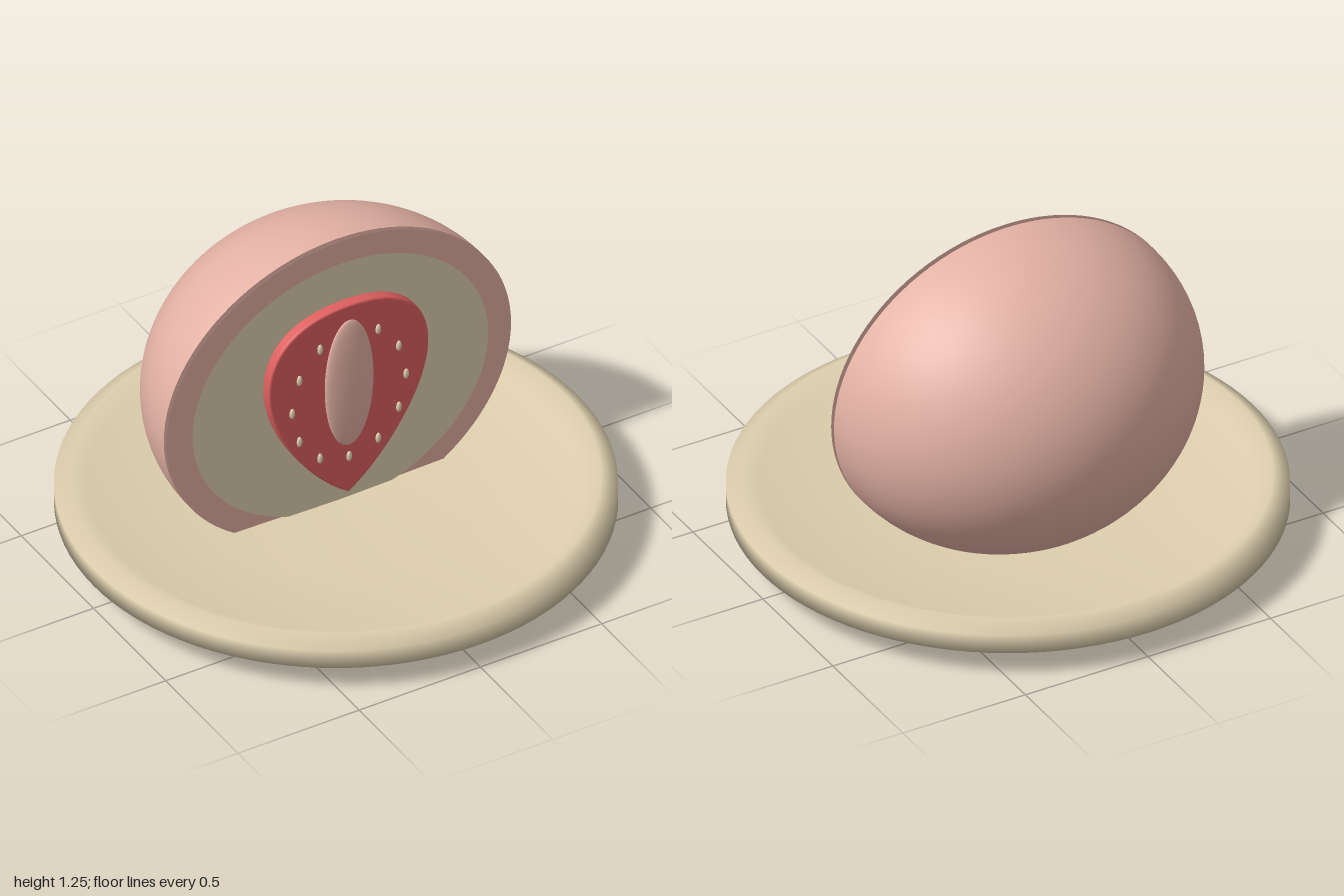
import * as THREE from 'three';

const material = (name, color, side = THREE.FrontSide) => {
  const m = new THREE.MeshStandardMaterial({ color, side });
  m.name = name;
  return m;
};

export function createModel() {
  const pink = material('pale pink', 0xe3b1a4, THREE.DoubleSide);
  const cream = material('cream', 0xdecfae, THREE.DoubleSide);
  const red = material('berry red', 0xde5f5f);

  const model = new THREE.Group();
  model.name = 'filledDumplingOnPlate';
  const add = (name, geometry, mat, x = 0, y = 0, z = 0) => {
    const mesh = new THREE.Mesh(geometry, mat);
    mesh.name = name;
    mesh.position.set(x, y, z);
    model.add(mesh);
    return mesh;
  };

  // Shallow dish with a rounded rim
  const profile = [
    [0, 0.035], [0.71, 0.035], [1, 0.105], [1, 0.18], [0.94, 0.215],
    [0.88, 0.18], [0.5, 0.135], [0, 0.125],
  ].map(([r, y]) => new THREE.Vector2(r, y));
  add('plate', new THREE.LatheGeometry(profile, 96), cream);

  // Back half of the outer shell, cut open towards the front
  const shell = new THREE.SphereGeometry(1, 64, 48, Math.PI, Math.PI);
  shell.rotateY(Math.PI).scale(0.71, 0.625, 0.65);
  // keep the half behind the cut
  shell.computeBoundingBox();
  if (shell.boundingBox.max.z > 0.1) shell.rotateY(Math.PI);
  add('outerShell', shell, pink, 0, 0.63, 0);

  // Cut faces: outer skin and inner paste
  add('skinCutFace', new THREE.CircleGeometry(1, 96).scale(0.71, 0.625, 1), pink, 0, 0.63, 0.02);
  add('pasteCutFace', new THREE.CircleGeometry(1, 96).scale(0.61, 0.535, 1), cream, 0, 0.63, 0.03);

  // Halved berry slab
  const outline = new THREE.Shape();
  outline.moveTo(0, 0.205);
  outline.bezierCurveTo(0.12, 0.28, 0.322, 0.53, 0.322, 0.74);
  outline.bezierCurveTo(0.322, 0.92, 0.2, 1.012, 0, 1.012);
  outline.bezierCurveTo(-0.2, 1.012, -0.322, 0.92, -0.322, 0.74);
  outline.bezierCurveTo(-0.322, 0.53, -0.12, 0.28, 0, 0.205);
  const slab = new THREE.ExtrudeGeometry(outline, {
    depth: 0.029, bevelEnabled: true, bevelSize: 0.008, bevelThickness: 0.008,
    bevelSegments: 3, curveSegments: 28,
  });
  add('berry', slab, red, 0, 0, 0.053);

  // Pale core of the berry
  add('berryCore', new THREE.SphereGeometry(1, 40, 28).scale(0.1, 0.275, 0.025), pink, 0, 0.68, 0.09);

  // Seeds around the core
  const seed = new THREE.SphereGeometry(1, 14, 10).scale(0.011, 0.022, 0.009);
  for (const [x, y] of [[0.12, 0.87], [0.205, 0.765], [0.235, 0.63], [0.205, 0.495], [0.12, 0.39]]) {
    add('seedLeft', seed, cream, x, y, 0.091);
    add('seedRight', seed, cream, -x, y, 0.091);
  }
  add('seedBottom', seed, cream, 0, 0.355, 0.091);

  return model;
}
